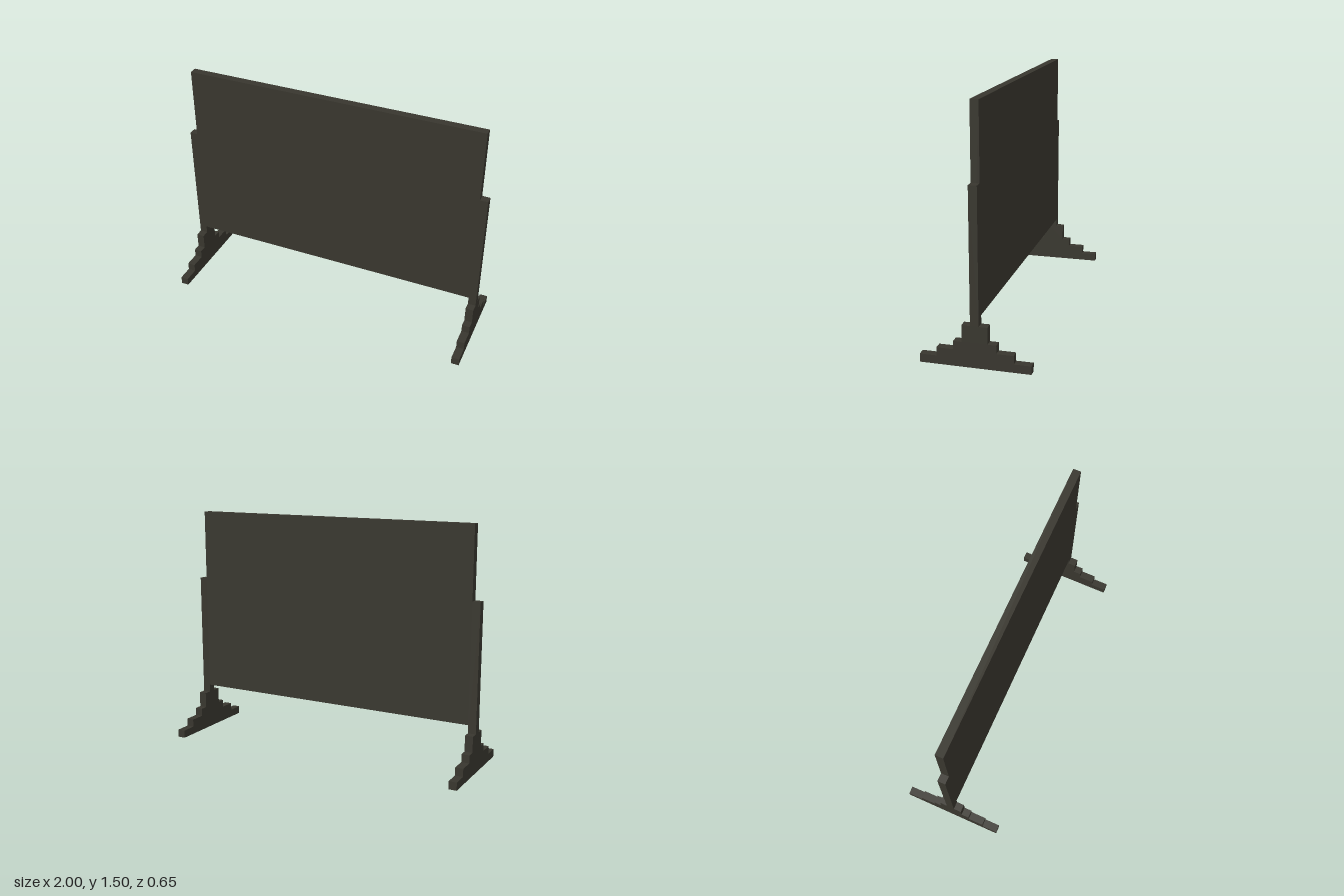
import * as THREE from 'three';

export function createModel() {
  const group = new THREE.Group();
  const charcoal = new THREE.MeshStandardMaterial({ color: 0x38362e });
  charcoal.name = 'charcoal';

  // Wide flat board
  const panel = new THREE.Mesh(new THREE.BoxGeometry(1.9, 1.2, 0.05), charcoal);
  panel.name = 'panel';
  panel.position.y = 0.9;
  group.add(panel);

  // Stepped foot rising into a slim post: [half depth, bottom, top]
  const steps = [
    [0.325, 0, 0.05],
    [0.225, 0.05, 0.1],
    [0.125, 0.1, 0.15],
    [0.075, 0.15, 0.25],
    [0.025, 0.25, 1.05],
  ];
  const rightEdge = steps.flatMap(([w, y0, y1]) => [[w, y0], [w, y1]]);
  const leftEdge = rightEdge.map(([w, y]) => [-w, y]).reverse();
  const outline = [...rightEdge, ...leftEdge].map(([x, y]) => new THREE.Vector2(x, y));
  const standGeometry = new THREE.ExtrudeGeometry(new THREE.Shape(outline), {
    depth: 0.05,
    bevelEnabled: false,
  });
  standGeometry.translate(0, 0, -0.025);
  standGeometry.rotateY(Math.PI / 2);

  // One stand at each end of the board
  for (const side of [-1, 1]) {
    const stand = new THREE.Mesh(standGeometry, charcoal);
    stand.name = side > 0 ? 'leftStand' : 'rightStand';
    stand.position.x = side * 0.975;
    group.add(stand);
  }

  return group;
}
